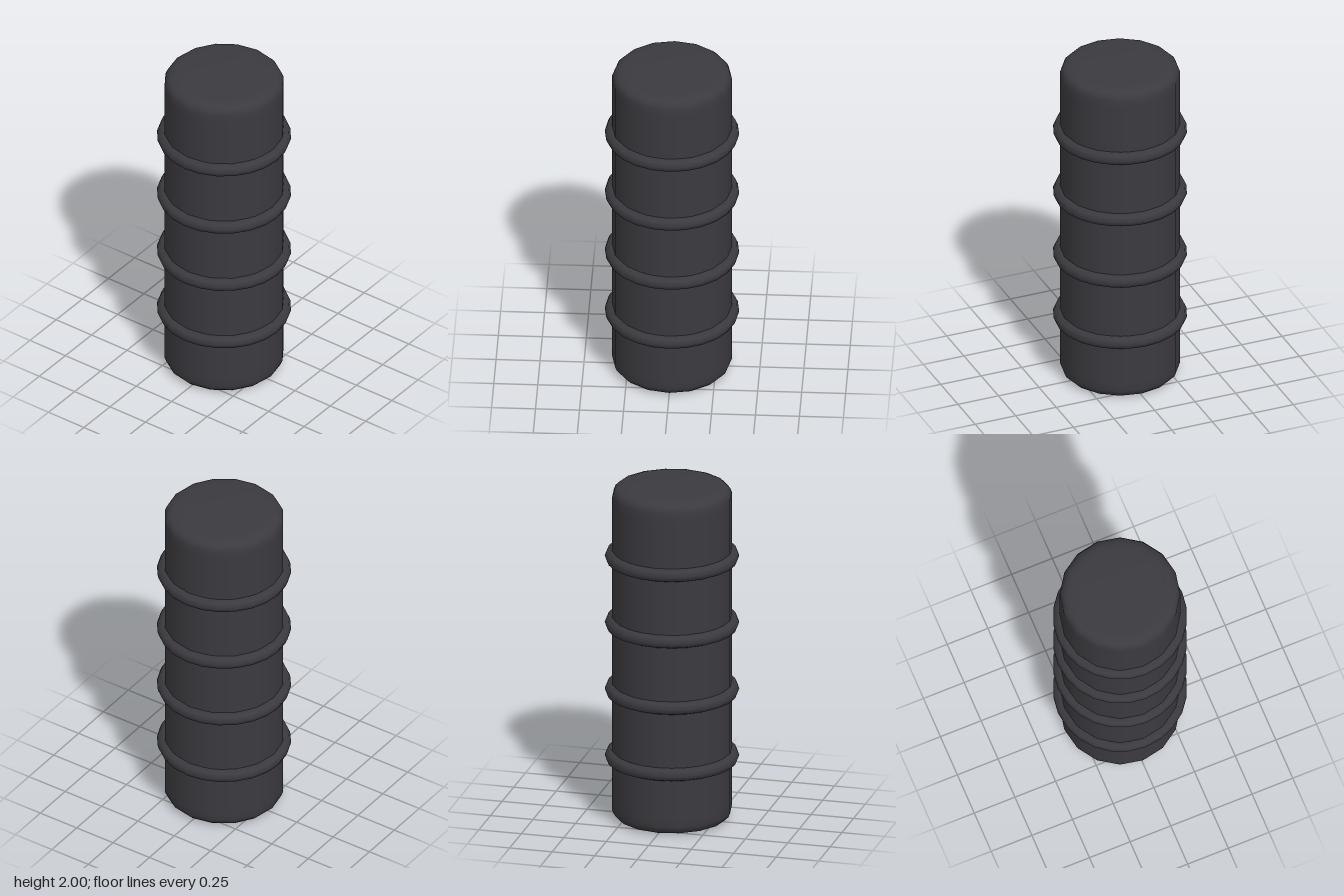
import * as THREE from 'three';

export function createModel() {
  const group = new THREE.Group();
  const rubber = new THREE.MeshStandardMaterial({ color: 0x3b3a3f });
  rubber.name = 'dark grey rubber';

  // Sixteen-sided body with rounded rims
  const radius = 0.342;
  const half = [[0, 0], [0.24, 0], [0.285, 0.003], [0.315, 0.013], [0.332, 0.03], [radius, 0.055], [radius, 0.1]];
  const profile = [
    ...half.map(([r, y]) => new THREE.Vector2(r, y)),
    ...half.slice().reverse().map(([r, y]) => new THREE.Vector2(r, 2 - y)),
  ];
  const body = new THREE.Mesh(new THREE.LatheGeometry(profile, 16), rubber);
  body.name = 'body';
  group.add(body);

  // Four evenly spaced grip rings
  const ringGeometry = new THREE.TorusGeometry(0.343, 0.039, 8, 24).rotateX(Math.PI / 2);
  for (let i = 0; i < 4; i++) {
    const ring = new THREE.Mesh(ringGeometry, rubber);
    ring.name = `gripRing${i + 1}`;
    ring.position.y = 0.376 + i * 0.4;
    group.add(ring);
  }
  return group;
}
